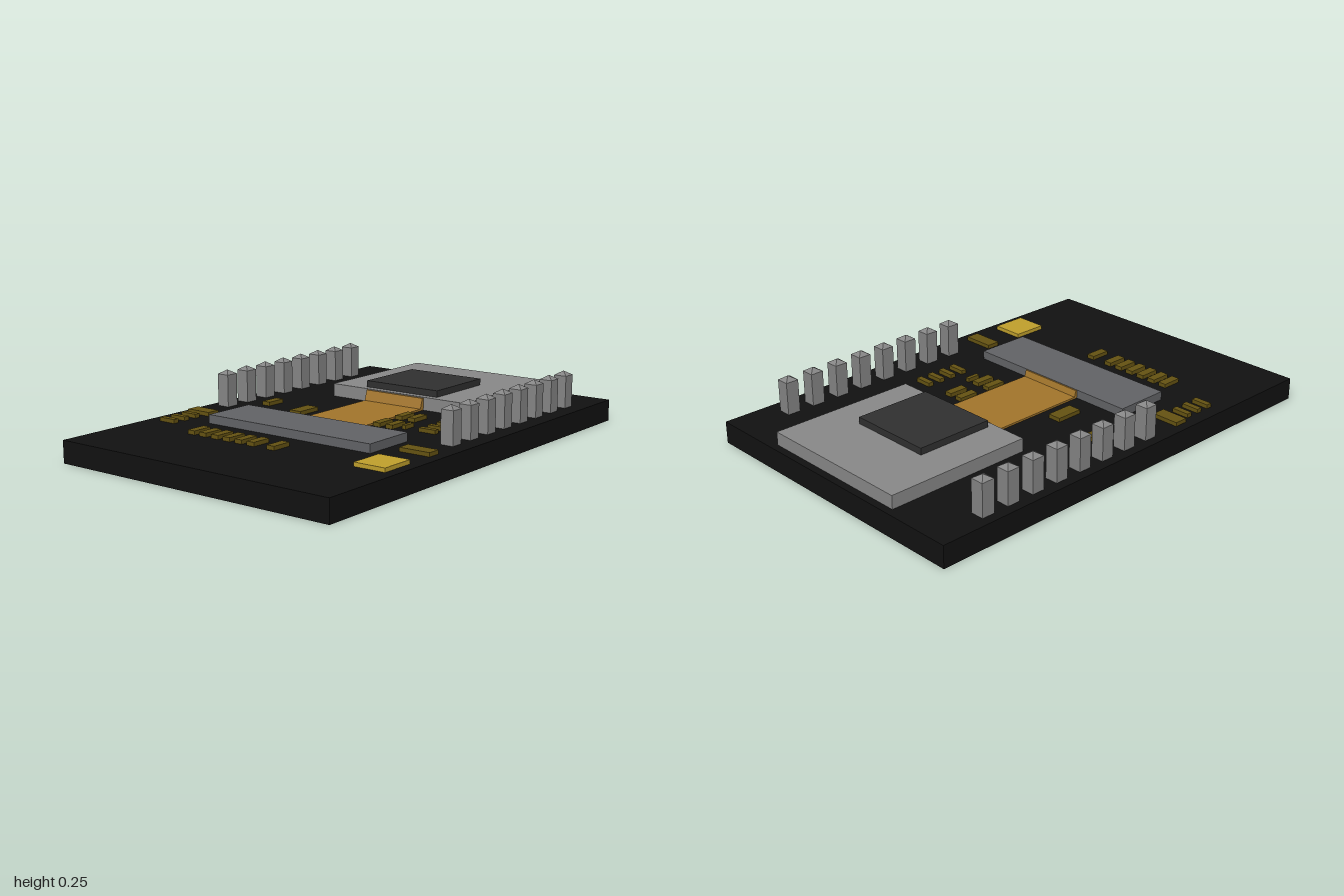
import * as THREE from 'three';

const mat = (color) => new THREE.MeshStandardMaterial({ color, flatShading: true });
const M = {
  board: mat(0x111111), steel: mat(0x858585), plate: mat(0x888888), chip: mat(0x303030),
  socket: mat(0x626366), ribbon: mat(0xa2752b), gold: mat(0xc0a02c), brass: mat(0x655312),
};
const TOP = 0.095; // upper face of the board

export function createModel() {
  const root = new THREE.Group();
  root.name = 'circuitBoard';

  // box given by its extents
  const box = (name, material, x0, x1, y0, y1, z0, z1, parent = root) => {
    const m = new THREE.Mesh(new THREE.BoxGeometry(x1 - x0, y1 - y0, z1 - z0), material);
    m.position.set((x0 + x1) / 2, (y0 + y1) / 2, (z0 + z1) / 2);
    m.name = name;
    parent.add(m);
  };

  box('board', M.board, -0.67, 0.67, 0, TOP, -1, 1);
  box('modulePlate', M.plate, -0.356, 0.352, TOP, 0.152, -0.968, -0.314);
  box('moduleChip', M.chip, -0.19, 0.186, 0.152, 0.181, -0.69, -0.345);
  box('ribbonSocket', M.socket, -0.42, 0.414, TOP, 0.132, 0.19, 0.434);
  box('goldPad', M.gold, 0.482, 0.624, TOP, 0.112, 0.47, 0.624);

  // flat ribbon cable, turned up at both ends
  const s = new THREE.Shape();
  [[-0.19, TOP], [0.314, TOP], [0.314, 0.148], [0.306, 0.148], [0.292, 0.103],
    [-0.176, 0.103], [-0.184, 0.13], [-0.19, 0.13]]
    .forEach(([a, b], i) => (i ? s.lineTo(a, b) : s.moveTo(a, b)));
  const ribbon = new THREE.Mesh(
    new THREE.ExtrudeGeometry(s, { depth: 0.3, bevelEnabled: false }), M.ribbon);
  ribbon.rotation.y = Math.PI / 2; // profile runs along -z
  ribbon.position.x = -0.163;
  ribbon.name = 'ribbonCable';
  root.add(ribbon);

  // two rows of header pins with pyramid tips
  const tipGeo = new THREE.ConeGeometry(0.029 * Math.SQRT2, 0.018, 4, 1, true).rotateY(Math.PI / 4);
  for (const [name, x] of [['rightPins', -0.6], ['leftPins', 0.573]]) {
    const row = new THREE.Group();
    row.name = name;
    for (let i = 0; i < 8; i++) {
      const z = -0.75 + i * 0.125;
      box('pinShaft', M.steel, x - 0.029, x + 0.029, TOP, 0.236, z - 0.029, z + 0.029, row);
      const tip = new THREE.Mesh(tipGeo, M.steel);
      tip.position.set(x, 0.245, z);
      tip.name = 'pinTip';
      row.add(tip);
    }
    root.add(row);
  }

  // small surface components: centre x, centre z, width, depth
  const parts = [
    [-0.463, -0.017, 0.04, 0.09], [-0.245, 0.031, 0.06, 0.12],
    [0.163, -0.142, 0.036, 0.09], [0.227, -0.142, 0.036, 0.09],
    [0.163, 0.014, 0.036, 0.09], [0.227, 0.014, 0.036, 0.09], [0.28, 0, 0.018, 0.06],
    [-0.57, 0.312, 0.12, 0.06], [0.552, 0.312, 0.142, 0.06], [0.08, 0.578, 0.038, 0.09],
  ];
  for (let i = 0; i < 6; i++) parts.push([-0.338 + i * 0.063, 0.578, 0.038, 0.09]);
  for (let i = 0; i < 4; i++) parts.push([0.393, -0.173 + i * 0.063, 0.08, 0.026]);
  for (let i = 0; i < 3; i++) parts.push([-0.57, 0.389 + i * 0.063, 0.08, 0.026]);
  const components = new THREE.Group();
  components.name = 'components';
  for (const [x, z, w, d] of parts)
    box('component', M.brass, x - w / 2, x + w / 2, TOP, 0.112, z - d / 2, z + d / 2, components);
  root.add(components);

  return root;
}
